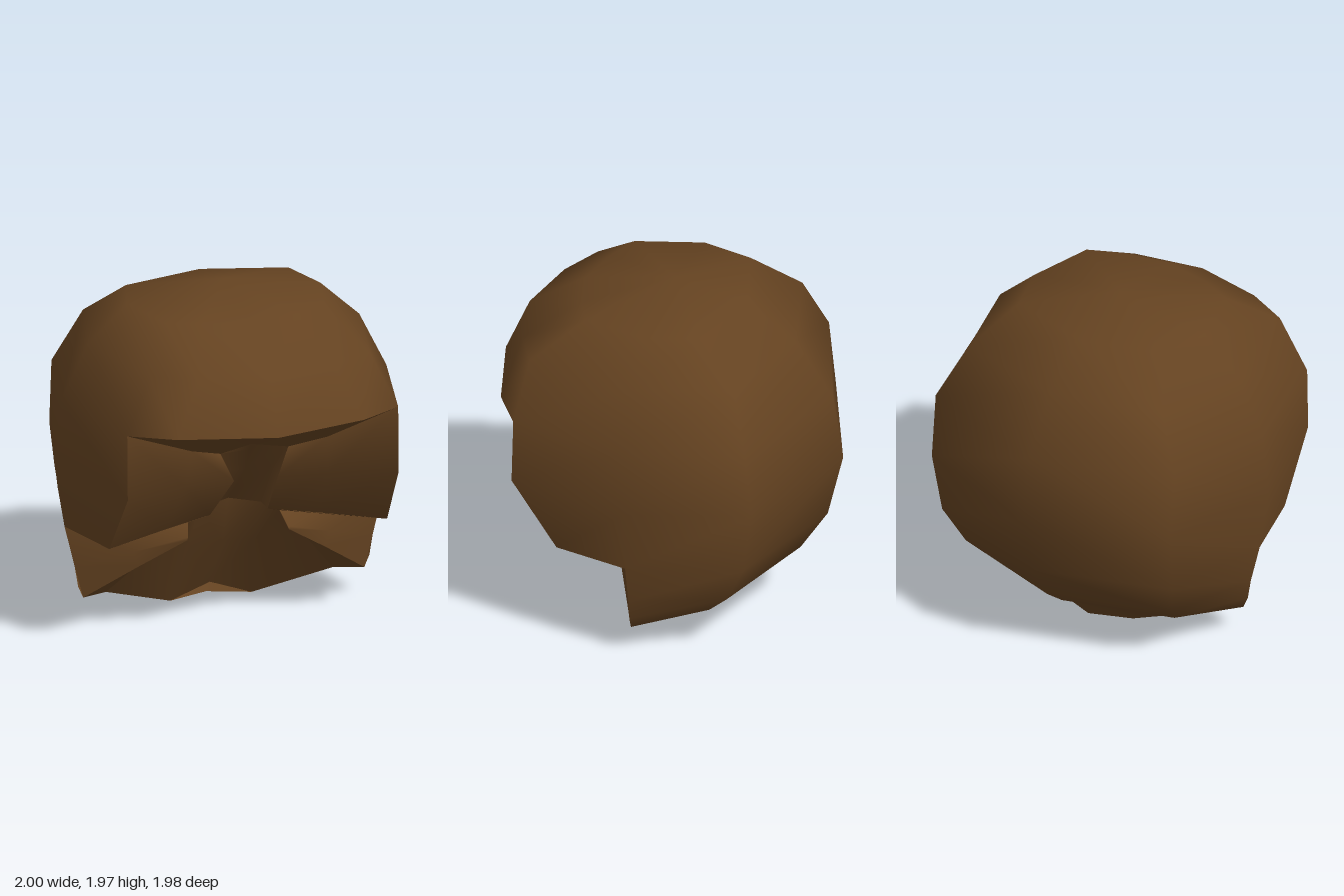
import * as THREE from 'three';
import { mergeVertices } from 'three/addons/utils/BufferGeometryUtils.js';

const material = new THREE.MeshStandardMaterial({ color: 0x654321, side: THREE.DoubleSide });

// Smooth surface from grids of points on the +x half, mirrored to the -x half.
// Rows run top to bottom, columns left to right as seen from outside.
function mirroredSurface(name, ...grids) {
  const positions = [];
  for (const sign of [1, -1]) {
    const add = (...pts) => {
      if (sign < 0) pts.reverse();
      for (const [x, y, z] of pts) positions.push(sign * x, y, z);
    };
    for (const rows of grids) {
      for (let r = 0; r + 1 < rows.length; r++) {
        for (let c = 0; c + 1 < rows[r].length; c++) {
          const a = rows[r][c], b = rows[r + 1][c];
          const d = rows[r + 1][c + 1], e = rows[r][c + 1];
          add(a, b, e);
          add(b, d, e);
        }
      }
    }
  }
  let geometry = new THREE.BufferGeometry();
  geometry.setAttribute('position', new THREE.Float32BufferAttribute(positions, 3));
  geometry = mergeVertices(geometry, 1e-4);
  geometry.computeVertexNormals();
  const mesh = new THREE.Mesh(geometry, material);
  mesh.name = name;
  return mesh;
}

// Level ring of [x, z] pairs at height y
const ring = (y, ...xz) => xz.map(([x, z]) => [x, y, z]);

export function createModel() {
  const group = new THREE.Group();
  group.name = 'hair';

  // Outer shell: columns go from the front centre round the side to the back
  const brow = ring(1.35, [0, 0.99], [0.55, 0.85], [0.8, 0.7], [0.96, 0], [0.8, -0.66], [0, -0.93]);
  const crown = [
    brow.map(() => [0, 1.97, 0]),
    ring(1.88, [0, 0.52], [0.28, 0.46], [0.47, 0.38], [0.57, 0], [0.48, -0.3], [0, -0.43]),
    ring(1.67, [0, 0.85], [0.4, 0.77], [0.65, 0.65], [0.8, 0], [0.65, -0.55], [0, -0.71]),
    brow,
  ];
  const jaw = ring(0.595, [0.82, 0.44], [0.94, 0], [0.77, -0.64], [0, -0.9]);
  const sides = [
    brow.slice(2),
    ring(0.97, [0.8, 0.71], [1, 0], [0.8, -0.7], [0, -0.99]),
    jaw,
  ];
  const nape = [
    jaw.slice(1),
    ring(0.35, [0.88, 0], [0.69, -0.52], [0, -0.74]),
    ring(0.23, [0.86, 0], [0.63, -0.4], [0, -0.59]),
    [[0.83, 0.16, 0], [0.55, 0.14, -0.24], [0, 0.15, -0.46]],
    [[0.67, 0.15, -0.08], [0.24, 0, -0.23], [0, 0, -0.32]],
  ];
  group.add(mirroredSurface('outerHair', crown, sides, nape));

  // Underside of the overhanging fringe
  const fringeEdge = [[0, 1.15, 0.5], [0.2, 1.13, 0.55], [0.4, 1.2, 0.65], [0.8, 1.35, 0.7]];
  group.add(mirroredSurface('fringeUnderside', [
    ring(1.35, [0, 0.99], [0.27, 0.921], [0.55, 0.85], [0.8, 0.7]),
    fringeEdge,
  ]));

  // Front panels beside the face, with their undersides
  group.add(mirroredSurface('cheekPanels', [
    fringeEdge.slice(1),
    ring(0.97, [0.13, 0.58], [0.42, 0.6], [0.8, 0.71]),
    [[0.17, 0.67, 0.27], [0.45, 0.64, 0.34], [0.82, 0.595, 0.44]],
  ]));
  group.add(mirroredSurface('cheekUndersides', [
    [[0.17, 0.67, 0.27], [0.82, 0.595, 0.44]],
    [[0.27, 0.62, 0.18], [0.94, 0.595, 0]],
  ]));

  // Recessed strip between the panels
  group.add(mirroredSurface('faceRecess', [
    [[0, 1.15, 0.5], [0.2, 1.13, 0.55], [0.2, 1.13, 0.55]],
    [[0, 1.1, 0.45], [0.17, 1.1, 0.45], [0.2, 1.13, 0.55]],
    ring(0.97, [0, 0.4], [0.15, 0.4], [0.13, 0.58]),
    [[0, 0.69, 0.08], [0.18, 0.66, 0.12], [0.17, 0.67, 0.27]],
  ]));

  // Lower side flaps running in to a pointed tip
  const flapEdge = [[0.3, 0.53, 0.26], [0.55, 0.36, 0.14], [0.83, 0.16, 0]];
  const neckSide = [[0.27, 0.62, 0.18], [0.45, 0.42, 0.1], [0.67, 0.15, -0.08]];
  group.add(mirroredSurface('sideFlaps', [
    [[0.27, 0.62, 0.18], [0.6, 0.6, 0.1], [0.94, 0.595, 0]],
    [[0.3, 0.55, 0.27], [0.58, 0.45, 0.14], [0.88, 0.35, 0]],
    flapEdge,
  ]));
  group.add(mirroredSurface('flapUndersides', [flapEdge, neckSide]));

  // Hollow surface in front of the nape
  group.add(mirroredSurface('neckHollow', [
    [[0, 0.69, 0.08], [0.18, 0.66, 0.12], neckSide[0]],
    [[0, 0.4, -0.02], [0.2, 0.38, -0.05], neckSide[1]],
    [[0, 0.08, -0.25], [0.24, 0, -0.23], neckSide[2]],
  ]));

  return group;
}
